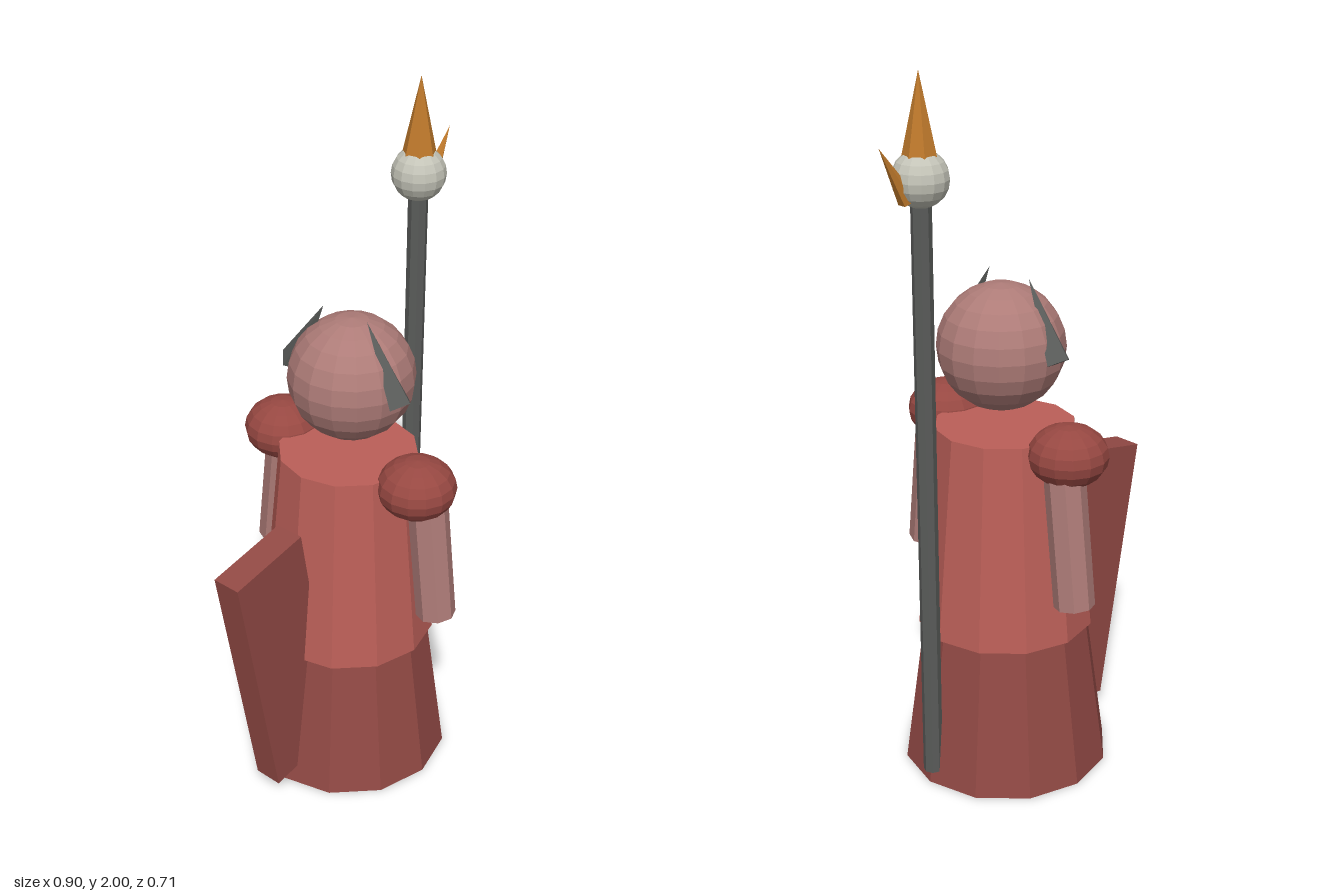
import * as THREE from 'three';

const mat = (color) => new THREE.MeshStandardMaterial({ color, flatShading: true });

export function createModel() {
  const model = new THREE.Group();
  const skirtRed = mat(0x934a45), torsoRed = mat(0xbb5f58), padRed = mat(0x974842);
  const skin = mat(0xae7c78), iron = mat(0x5a5c5a), pearl = mat(0xc4c4b8), amber = mat(0xc07a2c);

  const add = (name, geometry, material, x, y, z) => {
    const mesh = new THREE.Mesh(geometry, material);
    mesh.name = name;
    mesh.position.set(x, y, z);
    model.add(mesh);
    return mesh;
  };

  // Tapered cylinder or cone running between two points
  const rod = (name, from, to, rBottom, rTop, sides, material) => {
    const a = new THREE.Vector3(...from), b = new THREE.Vector3(...to);
    const dir = b.clone().sub(a);
    const mid = a.clone().add(b).multiplyScalar(0.5);
    const geometry = rTop > 0
      ? new THREE.CylinderGeometry(rTop, rBottom, dir.length(), sides)
      : new THREE.ConeGeometry(rBottom, dir.length(), sides);
    const mesh = add(name, geometry, material, mid.x, mid.y, mid.z);
    mesh.quaternion.setFromUnitVectors(new THREE.Vector3(0, 1, 0), dir.normalize());
    return mesh;
  };

  // Robe and head
  rod('skirt', [0.037, 0, 0], [0.037, 0.44, 0], 0.295, 0.235, 12, skirtRed);
  rod('torso', [0.037, 0.435, 0], [0.037, 1.015, 0], 0.25, 0.195, 12, torsoRed);
  add('head', new THREE.SphereGeometry(0.175, 16, 12), skin, 0.05, 1.24, 0);

  // Shoulder, arm and horn on each side
  for (const [label, s] of [['front', 1], ['back', -1]]) {
    const pad = add(label + 'Shoulder', new THREE.SphereGeometry(0.109, 14, 10), padRed, 0.036, 0.992, s * 0.242);
    pad.scale.y = 0.78;
    rod(label + 'Arm', [0.065, 0.58, s * 0.3], [0.065, 0.98, s * 0.254], 0.056, 0.056, 8, skin);
    rod(label + 'Horn', [0.022, 1.231, s * 0.188], [0.022, 1.437, s * 0.075], 0.04, 0, 4, iron);
  }

  // Tilted shield slab
  const shield = add('shield', new THREE.BoxGeometry(0.253, 0.79, 0.084), skirtRed, -0.264, 0.456, 0);
  shield.rotation.z = THREE.MathUtils.degToRad(10);

  // Staff with orb and two spikes
  rod('staff', [0.319, 0.04, 0], [0.319, 1.72, 0], 0.027, 0.027, 8, iron);
  add('staffOrb', new THREE.SphereGeometry(0.074, 14, 10), pearl, 0.319, 1.735, 0);
  rod('topSpike', [0.319, 1.785, 0], [0.319, 2, 0], 0.047, 0, 7, amber);
  rod('sideSpike', [0.362, 1.688, 0], [0.447, 1.828, 0], 0.025, 0, 6, amber);

  return model;
}
